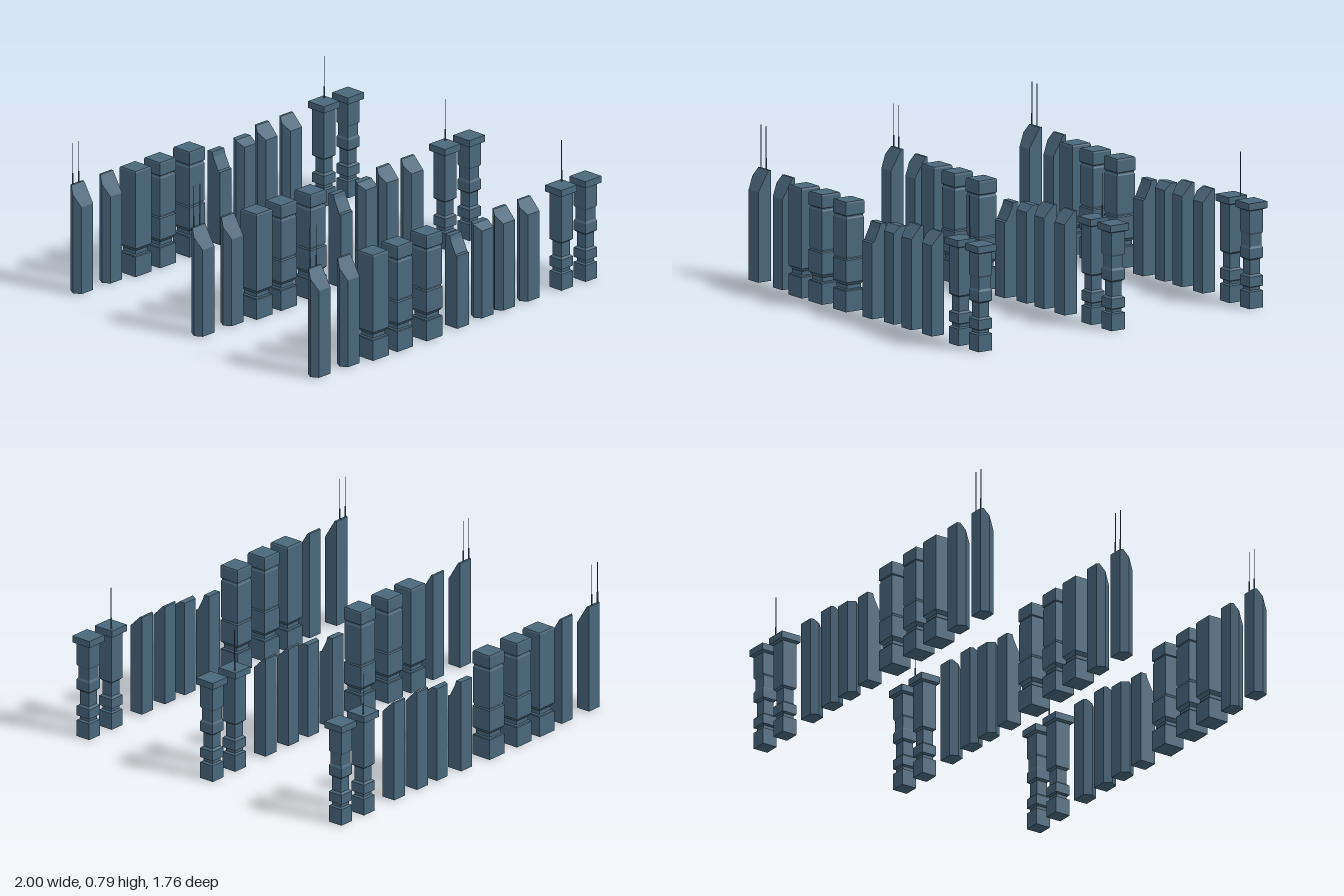
import * as THREE from 'three';
import { ConvexGeometry } from 'three/addons/geometries/ConvexGeometry.js';

const steel = new THREE.MeshStandardMaterial({ color: 0x4a687c, flatShading: true });
steel.name = 'steel blue';

function mesh(geometry, name) {
  const m = new THREE.Mesh(geometry, steel);
  m.name = name;
  return m;
}

// Square tower from [half width, height] steps, bottom to top
function squareStack(steps) {
  const pts = [[0, steps[0][1]], ...steps, [0, steps[steps.length - 1][1]]];
  return new THREE.LatheGeometry(
    pts.map(([h, y]) => new THREE.Vector2(h * Math.SQRT2, y)), 4, Math.PI / 4);
}

// Tower with a pointed right side and a roof falling from a rear ledge to the front
function wedgeTower(top, front, ridge) {
  const w = 0.052, d = 0.038, nose = 0.022, base = 0.005;
  const roof = z => (z <= ridge ? top : top + (front - top) * (z - ridge) / (d - ridge));
  const pts = [];
  for (const z of [-d, ridge, 0, d]) {
    const left = -w + nose * Math.abs(z) / d;
    for (const x of [left, w]) {
      pts.push(new THREE.Vector3(x, base, z), new THREE.Vector3(x, roof(z), z));
    }
  }
  return new ConvexGeometry(pts);
}

// Narrow block with a front slope, as a side profile extruded across x
function slopedBlock() {
  const side = [[-0.043, 0], [0.042, 0], [0.042, 0.385], [0.03, 0.39],
    [-0.003, 0.455], [-0.01, 0.48], [-0.043, 0.48]];
  const shape = new THREE.Shape(side.map(([z, y]) => new THREE.Vector2(-z, y)));
  return new THREE.ExtrudeGeometry(shape, { depth: 0.083, bevelEnabled: false })
    .translate(0, 0, -0.0415).rotateY(Math.PI / 2);
}

// Two-stage mast
function antenna(x, y, mid, top) {
  const g = new THREE.Group();
  g.name = 'antenna';
  [[y - 0.01, mid, 0.004], [mid, top, 0.002]].forEach(([a, b, r], i) => {
    const m = mesh(new THREE.CylinderGeometry(r, r, b - a, 6), i ? 'antennaTip' : 'antennaBase');
    m.position.set(x, (a + b) / 2, -0.031);
    g.add(m);
  });
  return g;
}

// Shared stack sections
const F = 0.056, N = 0.043, S = 0.041, T = 0.03;
const plinth = [[F, 0], [F, 0.106], [0.053, 0.11], [N, 0.113], [N, 0.133], [F, 0.15]];
const plainSteps = [...plinth, [F, 0.55], [0.052, 0.558]];
const bandedSteps = [...plinth, [F, 0.262], [0.05, 0.267], [0.05, 0.272], [0.054, 0.278],
  [0.054, 0.472], [0.05, 0.478], [0.05, 0.486], [F, 0.49], [F, 0.55], [0.053, 0.558]];
const foot = [[S, 0], [S, 0.086], [T, 0.092], [T, 0.106], [S, 0.112], [S, 0.162],
  [T, 0.172], [T, 0.245], [S, 0.254]];
const cap = [[S, 0.498], [F, 0.505], [F, 0.54]];
const pillarSteps = [...foot, ...cap];
const ringedSteps = [...foot, [S, 0.305], [0.035, 0.315], [0.035, 0.375], [S, 0.385], ...cap];

export function createModel() {
  const model = new THREE.Group();
  model.name = 'towerRows';

  const plain = squareStack(plainSteps), banded = squareStack(bandedSteps);
  const tall = wedgeTower(0.567, 0.465, -0.025);
  const towers = [
    ['antennaWedgeTower', -0.948, tall, [[-0.022, 0.565, 0.625, 0.785], [0.021, 0.565, 0.625, 0.785]]],
    ['wedgeTower', -0.743, tall],
    ['plainTower', -0.559, plain],
    ['bandedTower', -0.386, banded],
    ['bandedTower', -0.179, banded],
    ['slopedTower', 0.036, slopedBlock()],
    ['lowWedgeTower', 0.204, wedgeTower(0.5, 0.468, -0.003)],
    ['middleWedgeTower', 0.354, wedgeTower(0.528, 0.465, -0.022)],
    ['middleWedgeTower', 0.528, wedgeTower(0.528, 0.465, -0.025)],
    ['cappedPillar', 0.772, squareStack(pillarSteps), [[0.034, 0.54, 0.6, 0.76]]],
    ['ringedPillar', 0.943, squareStack(ringedSteps)],
  ];

  // Three identical rows
  [['frontRow', 0.825], ['middleRow', 0.017], ['backRow', -0.825]].forEach(([rowName, z]) => {
    const row = new THREE.Group();
    row.name = rowName;
    row.position.z = z;
    for (const [name, x, geometry, masts = []] of towers) {
      const tower = new THREE.Group();
      tower.name = name;
      tower.position.x = x;
      tower.add(mesh(geometry, name + 'Body'), ...masts.map(a => antenna(...a)));
      row.add(tower);
    }
    model.add(row);
  });
  return model;
}
